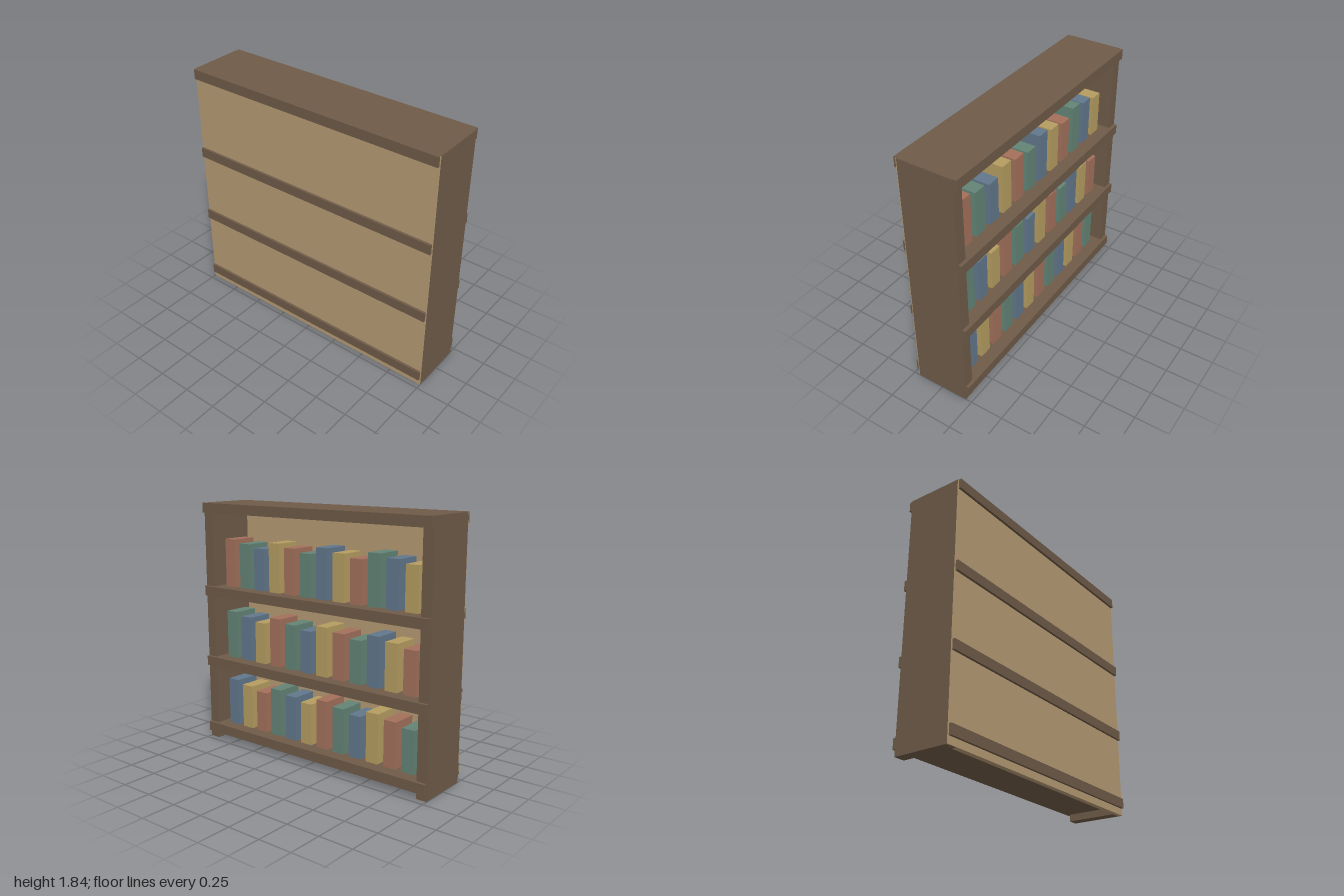
import * as THREE from 'three';

const paint = (name, color) => {
  const m = new THREE.MeshStandardMaterial({ color });
  m.name = name;
  return m;
};

export function createModel() {
  const group = new THREE.Group();
  group.name = 'bookcase';
  const darkWood = paint('darkWood', 0x6f5b48);
  const paleWood = paint('paleWood', 0xb59b74);
  const covers = [
    paint('redCover', 0xa3705c),
    paint('greenCover', 0x638475),
    paint('blueCover', 0x61778c),
    paint('yellowCover', 0xb59d60),
  ];

  // Box placed by its centre in x and z and by its bottom in y
  const box = (name, material, w, h, d, x, y, z) => {
    const mesh = new THREE.Mesh(new THREE.BoxGeometry(w, h, d), material);
    mesh.name = name;
    mesh.position.set(x, y + h / 2, z);
    group.add(mesh);
    return mesh;
  };

  // Side boards
  for (const s of [-1, 1]) {
    box(s > 0 ? 'leftSide' : 'rightSide', darkWood, 0.08, 1.84, 0.405, s * 0.96, 0, 0);
  }

  // Closed panel on the front
  box('panel', paleWood, 1.996, 1.838, 0.04, 0, 0, 0.19);

  // Shelves, running past the sides in depth
  const shelfBottoms = [0.052, 0.59, 1.141, 1.768];
  const shelfHeight = 0.073;
  shelfBottoms.forEach((y, i) => {
    box(i === 3 ? 'topBoard' : 'shelf', darkWood, 1.988, shelfHeight, 0.456, 0, y, 0);
  });

  // Twelve books on each lower shelf, spines toward the open back
  const heights = [0.36, 0.335, 0.31];
  for (let row = 0; row < 3; row++) {
    for (let i = 0; i < 12; i++) {
      const cover = covers[(i + 2 - row) % 4];
      const x = (5.5 - i) * 0.1465;
      box('book', cover, 0.098, heights[i % 3], 0.2, x, shelfBottoms[row] + shelfHeight, -0.035);
    }
  }
  return group;
}
